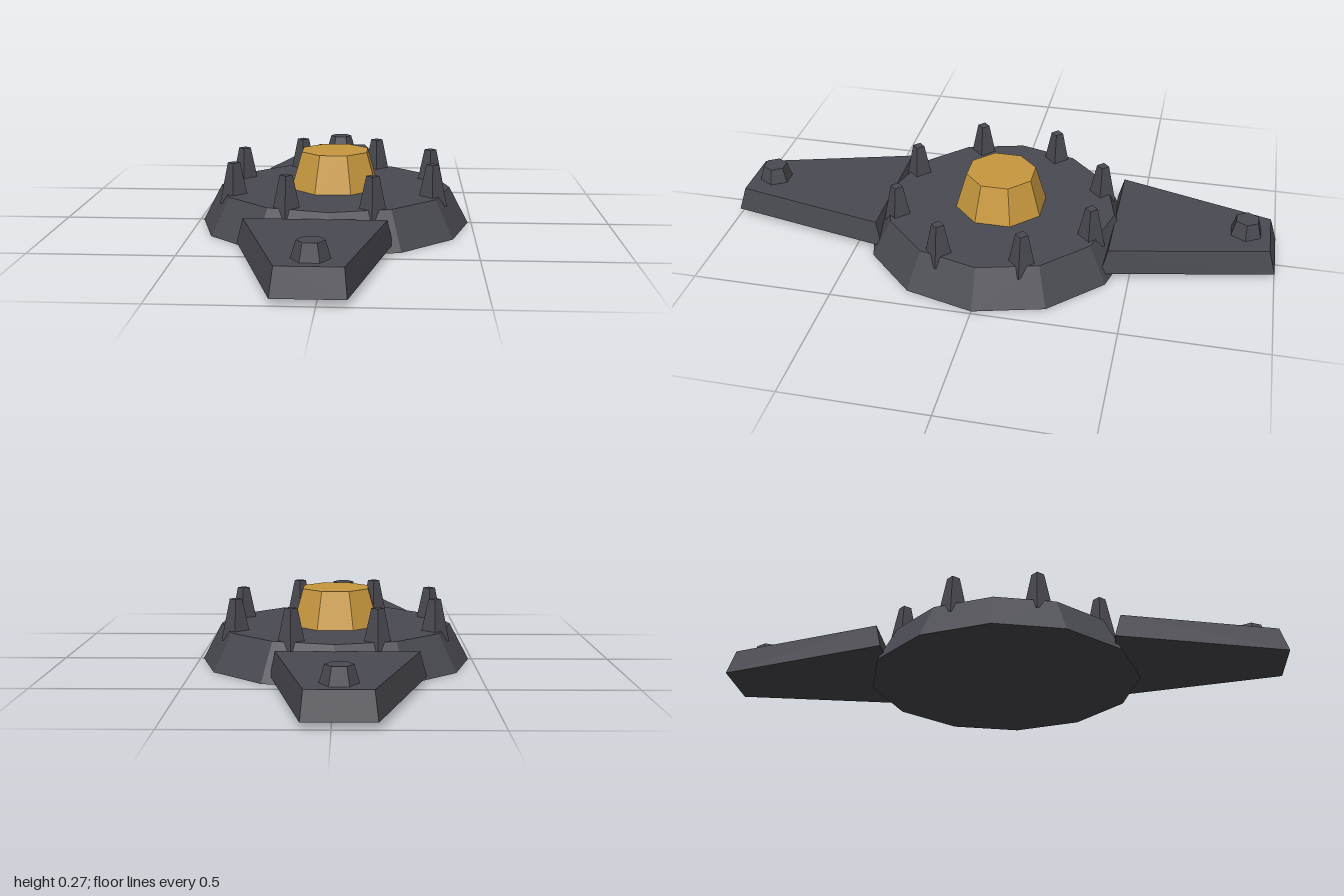
import * as THREE from 'three';
import { ConvexGeometry } from 'three/addons/geometries/ConvexGeometry.js';

export function createModel() {
  const group = new THREE.Group();
  const darkMetal = new THREE.MeshStandardMaterial({ name: 'dark metal', color: 0x4a4a52, flatShading: true });
  const gold = new THREE.MeshStandardMaterial({ name: 'gold', color: 0xc8983f, flatShading: true });

  const add = (name, geometry, material) => {
    const mesh = new THREE.Mesh(geometry, material);
    mesh.name = name;
    group.add(mesh);
    return mesh;
  };

  // Tapered prism standing between two heights
  const frustum = (name, rTop, rBottom, y0, y1, sides, turn, x, z, material) => {
    const geometry = new THREE.CylinderGeometry(rTop, rBottom, y1 - y0, sides);
    geometry.rotateY(turn);
    add(name, geometry, material).position.set(x, (y0 + y1) / 2, z);
  };

  // Twelve-sided base and eight-sided core
  frustum('base', 0.418, 0.488, 0, 0.133, 12, 0, 0, 0, darkMetal);
  frustum('core', 0.127, 0.17, 0.125, 0.267, 8, Math.PI / 8, 0, 0, gold);

  // Ring of spikes, sunk into the rim of the base
  for (let i = 0; i < 8; i++) {
    const a = Math.PI / 8 + i * Math.PI / 4;
    frustum('spike', 0.022, 0.053, 0.095, 0.245, 4, 0, 0.38 * Math.cos(a), 0.38 * Math.sin(a), darkMetal);
  }

  // Bevelled arms with a bolt near each tip
  const bottom = [[-0.31, 0.4], [0.215, 0.4], [0.09, 1], [-0.135, 1]];
  const top = [[-0.285, 0.422], [0.197, 0.422], [0.081, 0.973], [-0.124, 0.973]];
  for (const side of [1, -1]) {
    const points = [
      ...bottom.map(([x, z]) => new THREE.Vector3(x, 0.022, z * side)),
      ...top.map(([x, z]) => new THREE.Vector3(x, 0.111, z * side)),
    ];
    add(side > 0 ? 'frontArm' : 'backArm', new ConvexGeometry(points), darkMetal);
    frustum('bolt', 0.044, 0.062, 0.105, 0.167, 6, Math.PI / 6, -0.022, 0.887 * side, darkMetal);
  }
  return group;
}
